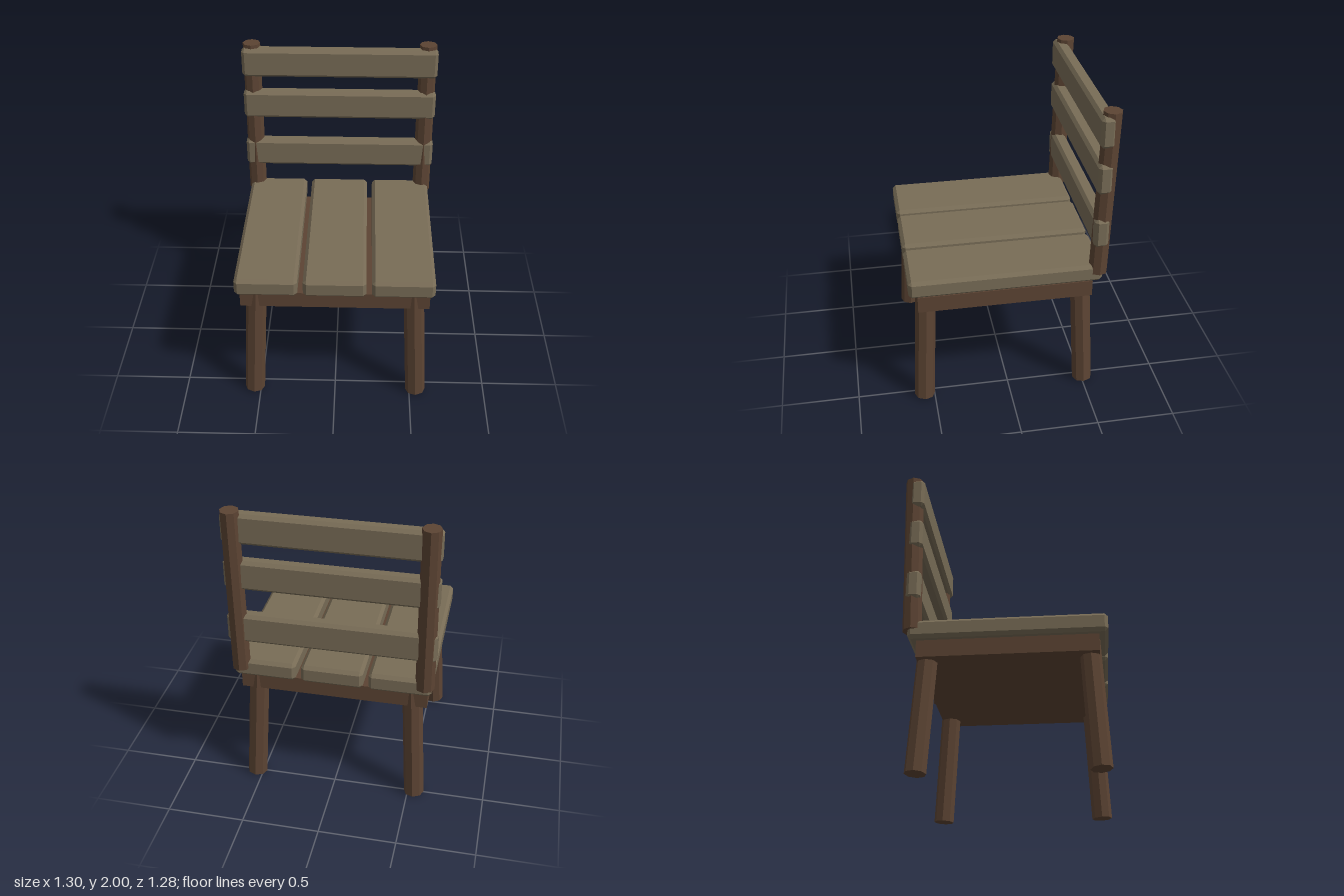
import * as THREE from 'three';
import { ConvexGeometry } from 'three/addons/geometries/ConvexGeometry.js';

const plankMaterial = new THREE.MeshStandardMaterial({ color: 0x786c56, flatShading: true });
const frameMaterial = new THREE.MeshStandardMaterial({ color: 0x5c4433, flatShading: true });

// Box with every edge cut by a single flat chamfer
function chamferedBox(w, h, d, c) {
  const points = [];
  for (const x of [-w / 2, w / 2]) for (const y of [-h / 2, h / 2]) for (const z of [-d / 2, d / 2]) {
    const cx = x - Math.sign(x) * c, cy = y - Math.sign(y) * c, cz = z - Math.sign(z) * c;
    points.push(
      new THREE.Vector3(x, cy, cz),
      new THREE.Vector3(cx, y, cz),
      new THREE.Vector3(cx, cy, z)
    );
  }
  return new ConvexGeometry(points);
}

// Eight-sided pole leaning from a bottom point to a top point
function pole(name, bottom, top, rBottom, rTop) {
  const a = new THREE.Vector3(...bottom), b = new THREE.Vector3(...top);
  const axis = b.clone().sub(a);
  const mesh = new THREE.Mesh(new THREE.CylinderGeometry(rTop, rBottom, axis.length(), 8), frameMaterial);
  mesh.position.copy(a).add(b).multiplyScalar(0.5);
  mesh.quaternion.setFromUnitVectors(new THREE.Vector3(0, 1, 0), axis.normalize());
  mesh.name = name;
  return mesh;
}

export function createModel() {
  const chair = new THREE.Group();
  chair.name = 'chair';
  const add = (name, geometry, material, x, y, z) => {
    const mesh = new THREE.Mesh(geometry, material);
    mesh.name = name;
    mesh.position.set(x, y, z);
    chair.add(mesh);
  };

  // Solid frame under the seat
  add('seatFrame', new THREE.BoxGeometry(1.2, 0.11, 1.11), frameMaterial, 0, 0.775, 0.03);

  // Three seat planks running front to back
  const seatPlank = chamferedBox(0.395, 0.12, 1.22, 0.021);
  for (const i of [-1, 0, 1]) add('seatPlank', seatPlank, plankMaterial, i * 0.43, 0.9, 0.03);

  // Splayed legs and back posts, mirrored left and right
  for (const [side, s] of [['left', 1], ['right', -1]]) {
    for (const [end, f] of [['Front', 1], ['Back', -1]]) {
      chair.add(pole(`${side}${end}Leg`,
        [s * 0.541, 0.005, 0.03 + f * 0.536], [s * 0.497, 0.845, 0.03 + f * 0.494], 0.066, 0.065));
    }
    chair.add(pole(`${side}BackPost`, [s * 0.585, 0.9, -0.555], [s * 0.585, 2, -0.584], 0.06, 0.058));
  }

  // Three horizontal back slats
  const slat = chamferedBox(1.3, 0.195, 0.09, 0.02);
  for (const y of [1.203, 1.575, 1.88]) add('backSlat', slat, plankMaterial, 0, y, -0.552);

  return chair;
}
